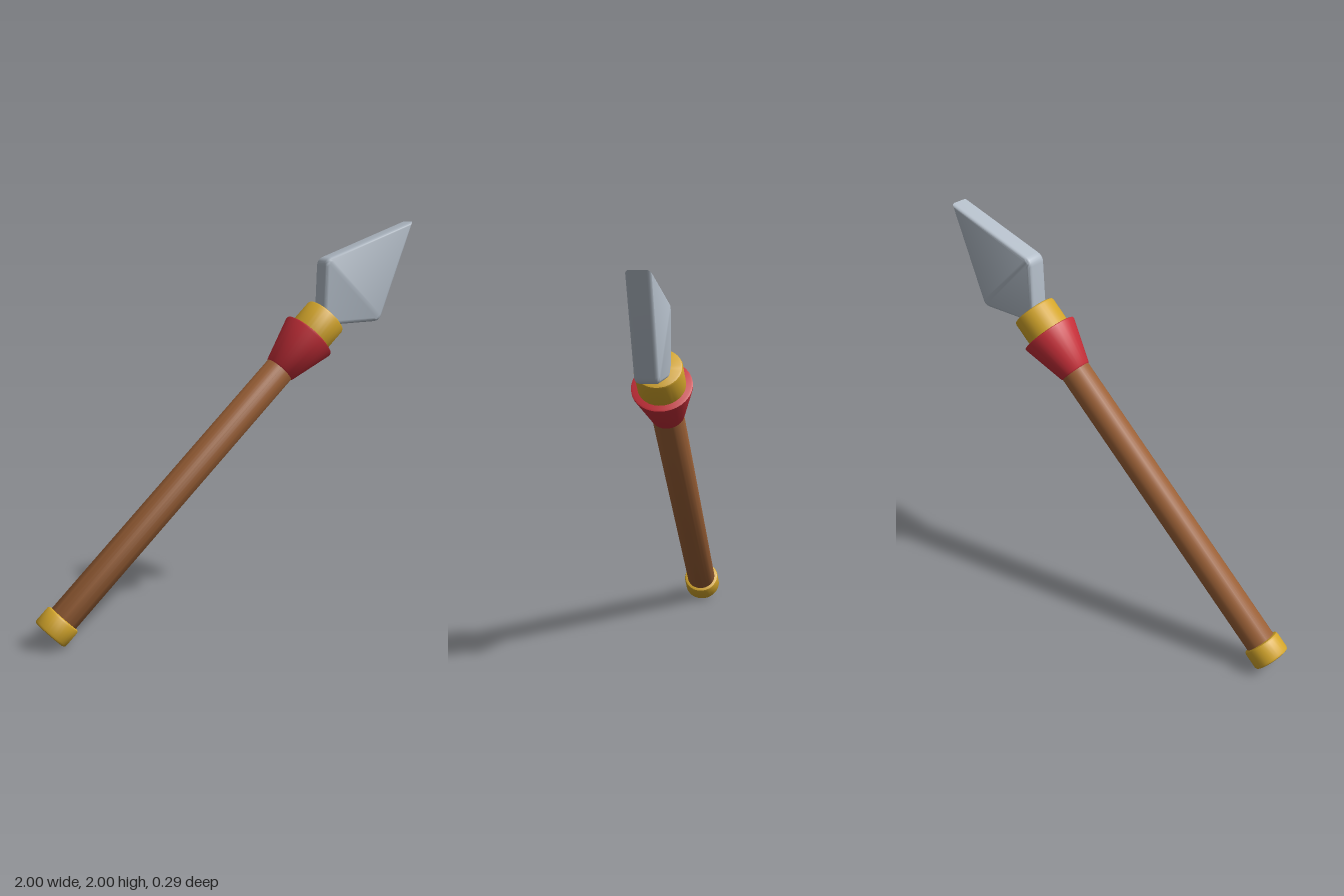
import * as THREE from 'three';
import { toCreasedNormals } from 'three/addons/utils/BufferGeometryUtils.js';

const flat = (name, color) => {
  const m = new THREE.MeshStandardMaterial({ color });
  m.name = name;
  return m;
};

// Solid of revolution about y from y0 (radius r0) to y1 (radius r1), edges softened by b
function turned(r0, y0, r1, y1, b) {
  const slope = (r1 - r0) / (y1 - y0);
  const pts = [
    [0, y0], [r0 - b, y0], [r0 - 0.3 * b, y0 + 0.3 * b], [r0 + slope * b, y0 + b],
    [r1 - slope * b, y1 - b], [r1 - 0.3 * b, y1 - 0.3 * b], [r1 - b, y1], [0, y1],
  ].map(([x, y]) => new THREE.Vector2(x, y));
  return toCreasedNormals(new THREE.LatheGeometry(pts, 32), 0.7);
}

// Kite outline with rounded shoulders, extruded with a rounded rim
function bladeGeometry() {
  const tip = 1.414, base = 0.693, shoulder = 0.932, w = 0.223;
  const s = new THREE.Shape();
  s.moveTo(0, base);
  s.lineTo(w - 0.022, shoulder - 0.024);
  s.quadraticCurveTo(w, shoulder, w - 0.014, shoulder + 0.03);
  s.lineTo(0, tip);
  s.lineTo(-w + 0.014, shoulder + 0.03);
  s.quadraticCurveTo(-w, shoulder, -w + 0.022, shoulder - 0.024);
  s.closePath();
  const bevel = 0.02, half = 0.056;
  const g = new THREE.ExtrudeGeometry(s, {
    depth: 2 * (half - bevel), curveSegments: 5,
    bevelEnabled: true, bevelThickness: bevel, bevelSize: bevel, bevelOffset: -bevel, bevelSegments: 4,
  });
  g.translate(0, 0, -(half - bevel));
  return toCreasedNormals(g, 0.7);
}

export function createModel() {
  const wood = flat('wood', 0x9c6137);
  const gold = flat('gold', 0xd4a62b);
  const red = flat('red', 0xc72f39);
  const steel = flat('steel', 0xb2bcc7);

  const model = new THREE.Group();
  model.name = 'spear';
  const spear = new THREE.Group();
  spear.name = 'tiltedSpear';
  model.add(spear);

  const add = (name, geometry, material) => {
    const mesh = new THREE.Mesh(geometry, material);
    mesh.name = name;
    spear.add(mesh);
  };

  // Parts are stacked along the local y axis
  add('buttCap', turned(0.094, -1.33, 0.094, -1.228, 0.012), gold);
  add('shaft', turned(0.076, -1.3, 0.076, 0.6, 0.005), wood);
  add('flaredBinding', turned(0.078, 0.38, 0.146, 0.62, 0.012), red);
  add('collar', turned(0.112, 0.56, 0.112, 0.755, 0.012), gold);
  add('blade', bladeGeometry(), steel);

  // Lean the whole weapon along the diagonal
  spear.rotation.z = -Math.PI / 4;
  spear.position.y = 1;
  return model;
}
